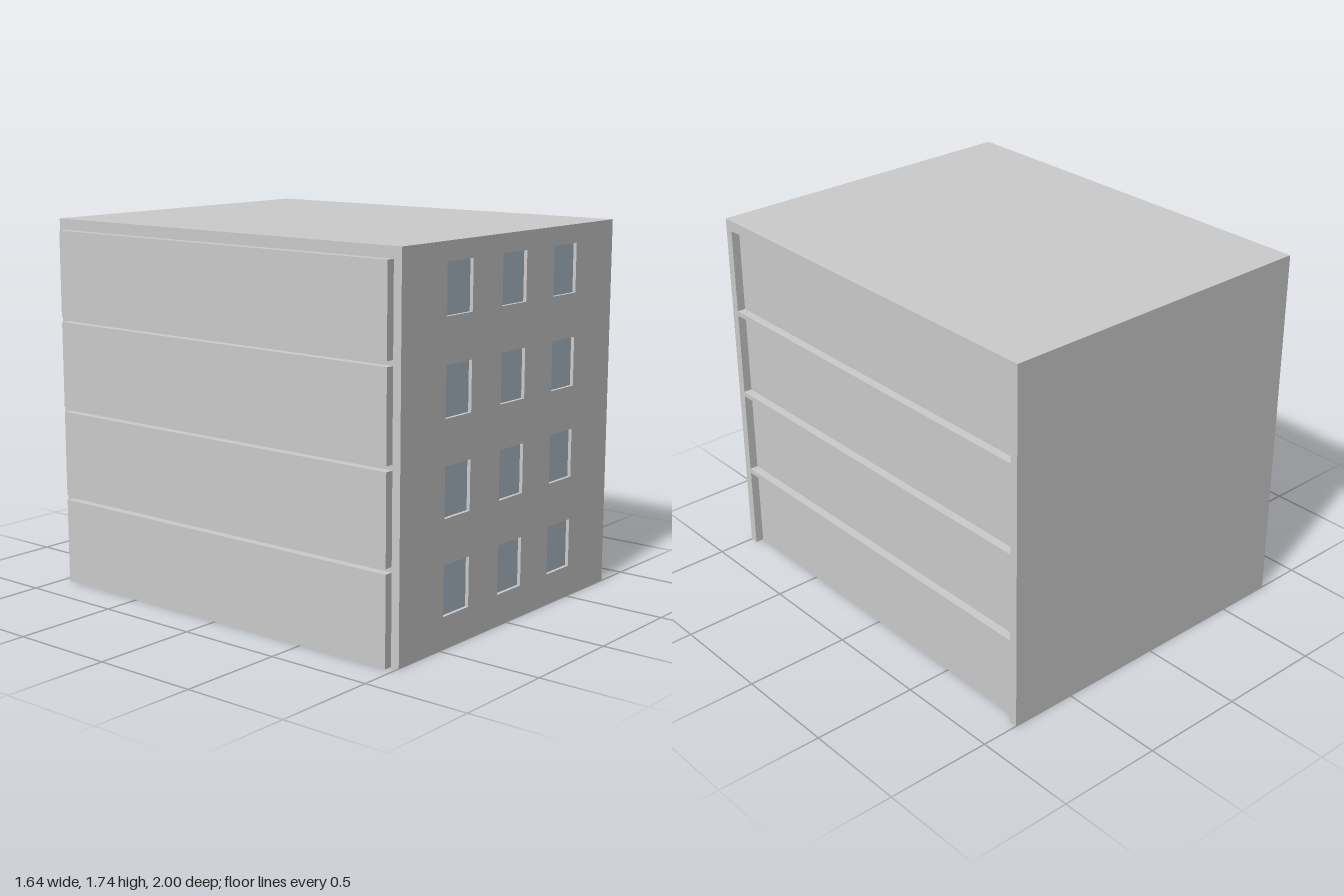
import * as THREE from 'three';

export function createModel() {
  const model = new THREE.Group();
  model.name = 'building';

  const concrete = new THREE.MeshStandardMaterial({ color: 0xcccccc });
  concrete.name = 'concrete grey';
  const glass = new THREE.MeshStandardMaterial({ color: 0xb0bdcc });
  glass.name = 'window blue';

  const LEFT = -0.78, RIGHT = 0.82, HEIGHT = 1.735;
  const WALL = 0.04, INNER = 0.96;
  const STOREY = 0.427, PANEL_H = 0.403, FLOORS = 4;

  // Box given by its minimum and maximum corners
  function block(name, material, [x0, y0, z0], [x1, y1, z1]) {
    const geometry = new THREE.BoxGeometry(x1 - x0, y1 - y0, z1 - z0);
    const mesh = new THREE.Mesh(geometry, material);
    mesh.position.set((x0 + x1) / 2, (y0 + y1) / 2, (z0 + z1) / 2);
    mesh.name = name;
    model.add(mesh);
  }

  // Plain back wall and the solid inner layer of the front wall
  block('backWall', concrete, [LEFT, 0, -1], [RIGHT, HEIGHT, -INNER]);
  block('frontWallInner', concrete, [LEFT, 0, INNER], [RIGHT, HEIGHT, INNER + 0.02]);

  // Outer layer of the front wall, cut by the window openings
  const outline = new THREE.Shape([
    new THREE.Vector2(LEFT, 0), new THREE.Vector2(RIGHT, 0),
    new THREE.Vector2(RIGHT, HEIGHT), new THREE.Vector2(LEFT, HEIGHT),
  ]);
  const W = 0.182, H = 0.225;
  for (let floor = 0; floor < FLOORS; floor++) {
    for (const x of [-0.383, 0.019, 0.42]) {
      const y = 0.257 + floor * STOREY;
      const x0 = x - W / 2, x1 = x + W / 2, y0 = y - H / 2, y1 = y + H / 2;
      outline.holes.push(new THREE.Path([
        new THREE.Vector2(x0, y0), new THREE.Vector2(x0, y1),
        new THREE.Vector2(x1, y1), new THREE.Vector2(x1, y0),
      ]));
      block('windowPane', glass, [x0, y0, INNER + 0.018], [x1, y1, INNER + 0.024]);
    }
  }
  const frontWall = new THREE.Mesh(
    new THREE.ExtrudeGeometry(outline, { depth: 0.02, bevelEnabled: false }), concrete);
  frontWall.position.z = INNER + 0.02;
  frontWall.name = 'frontWall';
  model.add(frontWall);

  // Each storey: side panels, columns and the slab above
  for (let floor = 0; floor < FLOORS; floor++) {
    const y0 = floor * STOREY, y1 = y0 + PANEL_H;
    for (const x of [LEFT - WALL, RIGHT - 2 * WALL]) {
      block('sidePanel', concrete, [x, y0, -INNER], [x + WALL, y1, INNER]);
    }
    for (const x of [-0.227, 0.307]) {
      for (const z of [-0.353, 0.313]) {
        block('column', concrete, [x - 0.022, y0, z - 0.022], [x + 0.022, y1, z + 0.022]);
      }
    }
    const top = floor === FLOORS - 1;
    block(top ? 'roof' : 'floorSlab', concrete,
      [LEFT, y1, -INNER], [RIGHT, top ? HEIGHT : y0 + STOREY, INNER]);
  }

  return model;
}
